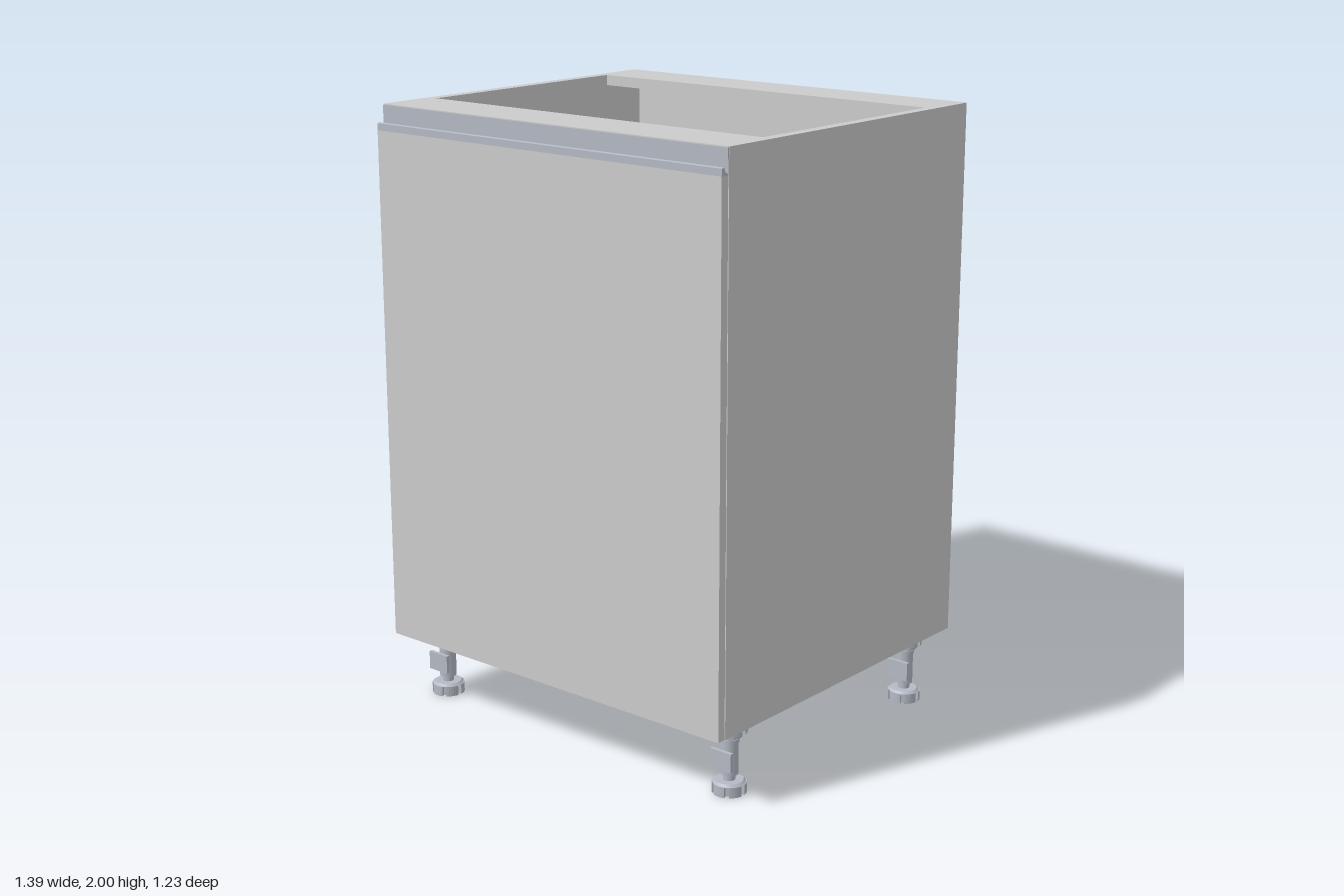
import * as THREE from 'three';

const grey = new THREE.MeshStandardMaterial({ color: 0xcccccc });
const metal = new THREE.MeshStandardMaterial({ color: 0xb4b9c4 });

const W = 0.695, BACK = -0.617, FRONT = 0.586, BASE = 0.235, TOP = 2;
const PANEL = 0.035, INNER = W - PANEL;

function add(parent, name, geometry, material, x = 0, y = 0, z = 0) {
  const mesh = new THREE.Mesh(geometry, material);
  mesh.name = name;
  mesh.position.set(x, y, z);
  parent.add(mesh);
  return mesh;
}

function polygon(points) {
  return new THREE.Shape(points.map(([x, y]) => new THREE.Vector2(x, y)));
}

// Raises a plan drawn in (x, -z) from height y0 to y1
function slab(shape, y0, y1) {
  return new THREE.ExtrudeGeometry(shape, { depth: y1 - y0, bevelEnabled: false, curveSegments: 6 })
    .rotateX(-Math.PI / 2).translate(0, y0, 0);
}

// Plan of the cabinet with softened corners
function footprint() {
  const r = 0.008, s = new THREE.Shape();
  s.moveTo(-W, -FRONT + r);
  s.quadraticCurveTo(-W, -FRONT, -W + r, -FRONT);
  s.lineTo(W - r, -FRONT);
  s.quadraticCurveTo(W, -FRONT, W, -FRONT + r);
  s.lineTo(W, -BACK - r);
  s.quadraticCurveTo(W, -BACK, W - r, -BACK);
  s.lineTo(-W + r, -BACK);
  s.quadraticCurveTo(-W, -BACK, -W, -BACK - r);
  return s;
}

function buildCarcass() {
  const g = new THREE.Group();
  g.name = 'carcass';
  // Bottom panel
  add(g, 'bottomPanel', slab(footprint(), BASE, BASE + PANEL), grey);
  // Side panels and thin back in one U-shaped wall, open toward the door
  const r = 0.008, wall = new THREE.Shape();
  wall.moveTo(-W, -FRONT);
  wall.lineTo(-INNER, -FRONT);
  wall.lineTo(-INNER, 0.602);
  wall.lineTo(INNER, 0.602);
  wall.lineTo(INNER, -FRONT);
  wall.lineTo(W, -FRONT);
  wall.lineTo(W, -BACK - r);
  wall.quadraticCurveTo(W, -BACK, W - r, -BACK);
  wall.lineTo(-W + r, -BACK);
  wall.quadraticCurveTo(-W, -BACK, -W, -BACK - r);
  add(g, 'sideAndBackWalls', slab(wall, BASE + PANEL, TOP - PANEL), grey);
  // Top rails around the opening
  const rim = footprint();
  rim.holes.push(polygon([[-INNER, -0.388], [-INNER, 0.43], [INNER, 0.43], [INNER, -0.388]]));
  add(g, 'topRails', slab(rim, TOP - PANEL, TOP), grey);
  return g;
}

// Extrudes a (z, y) profile across the cabinet width
function crossBar(shape, width) {
  return new THREE.ExtrudeGeometry(shape, { depth: width, bevelEnabled: false, curveSegments: 8 })
    .translate(0, 0, -width / 2).rotateY(-Math.PI / 2).scale(-1, 1, 1);
}

function buildFront() {
  const g = new THREE.Group();
  g.name = 'front';
  add(g, 'door', new THREE.BoxGeometry(1.385, 1.685, 0.029), grey, 0, BASE + 0.8425, 0.6005);
  // Finger pull: hooked lip on the door edge
  const lip = new THREE.Shape();
  lip.moveTo(0.586, 1.92);
  lip.lineTo(0.615, 1.92);
  lip.lineTo(0.615, 1.942);
  lip.lineTo(0.604, 1.944);
  lip.quadraticCurveTo(0.6, 1.925, 0.586, 1.926);
  const bar = crossBar(lip, 1.385);
  // The mirrored sweep needs its triangles turned back outward
  const p = bar.attributes.position.array;
  for (let i = 0; i < p.length; i += 9) {
    for (let k = 0; k < 3; k++) [p[i + 3 + k], p[i + 6 + k]] = [p[i + 6 + k], p[i + 3 + k]];
  }
  bar.computeVertexNormals();
  add(g, 'fingerPull', bar, metal);
  // Metal strip behind the pull
  add(g, 'pullBacking', new THREE.BoxGeometry(1.385, 0.082, 0.006), metal, 0, 1.956, 0.5855);
  return g;
}

// Disc with notches cut into its edge
function notchedDisc(radius, notches, y0, y1) {
  const pts = [], half = 0.13;
  for (let i = 0; i < notches; i++) {
    const a = (i / notches) * Math.PI * 2, step = Math.PI * 2 / notches;
    pts.push([Math.cos(a - half) * radius * 0.75, Math.sin(a - half) * radius * 0.75]);
    pts.push([Math.cos(a + half) * radius * 0.75, Math.sin(a + half) * radius * 0.75]);
    for (let j = 0; j <= 5; j++) {
      const b = a + half + (step - 2 * half) * j / 5;
      pts.push([Math.cos(b) * radius, Math.sin(b) * radius]);
    }
  }
  return slab(polygon(pts), y0, y1);
}

function buildLeg(x, z) {
  const g = new THREE.Group();
  g.name = 'leg';
  g.position.set(x, 0, z);
  // Adjustable foot
  add(g, 'foot', notchedDisc(0.054, 6, 0, 0.034), metal);
  add(g, 'footCap', new THREE.CylinderGeometry(0.044, 0.052, 0.008, 24), metal, 0, 0.037, 0);
  // Stem with collars
  add(g, 'threadedRod', new THREE.CylinderGeometry(0.019, 0.019, 0.04, 20), metal, 0, 0.055, 0);
  add(g, 'stem', new THREE.CylinderGeometry(0.028, 0.028, 0.13, 24), metal, 0, 0.125, 0);
  add(g, 'collar', new THREE.CylinderGeometry(0.031, 0.031, 0.012, 24), metal, 0, 0.172, 0);
  // Plinth clip on the front of the stem
  add(g, 'clipPlate', new THREE.BoxGeometry(0.082, 0.062, 0.012), metal, 0, 0.116, 0.039);
  add(g, 'clipNeck', new THREE.BoxGeometry(0.03, 0.045, 0.02), metal, 0, 0.116, 0.028);
  // Mounting socket with ribs
  add(g, 'socket', new THREE.CylinderGeometry(0.042, 0.04, 0.045, 24), metal, 0, 0.2075, 0);
  add(g, 'flange', notchedDisc(0.056, 4, 0.2, BASE), metal);
  for (let i = 0; i < 2; i++) {
    const rib = add(g, 'rib', new THREE.BoxGeometry(0.104, 0.04, 0.01), metal, 0, 0.208, 0);
    rib.rotation.y = Math.PI / 4 + i * Math.PI / 2;
  }
  return g;
}

export function createModel() {
  const model = new THREE.Group();
  model.name = 'baseCabinet';
  model.add(buildCarcass(), buildFront());
  for (const x of [-0.61, 0.61]) for (const z of [0.458, -0.484]) model.add(buildLeg(x, z));
  return model;
}
